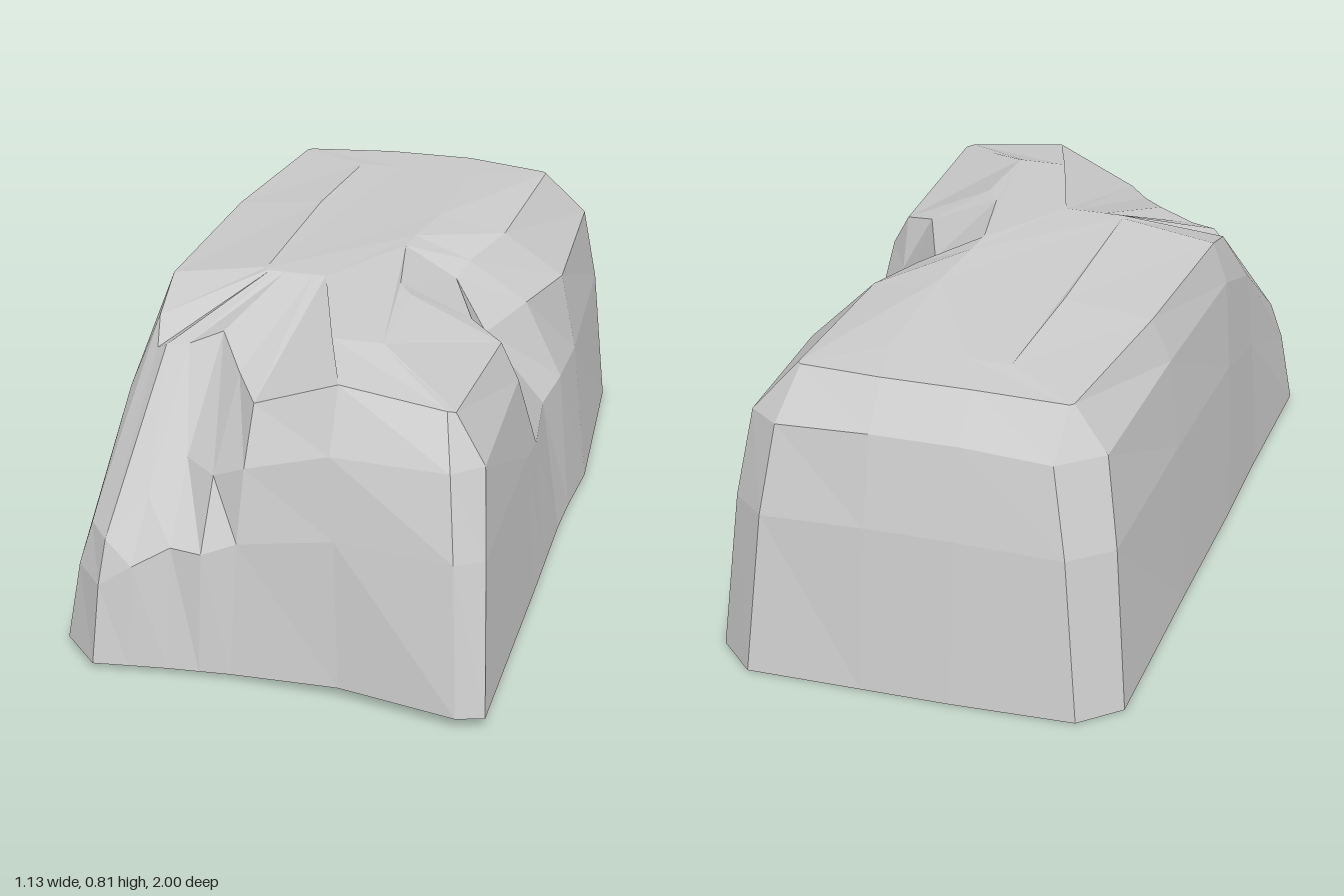
import * as THREE from 'three';

// Columns run round the block: back, left flank (+x), front, right flank (-x).
// Foot of the walls: x, z
const foot = [
  [-.52, -.9], [-.42, -.99], [-.1, -1], [.13, -1], [.43, -1], [.53, -.9],
  [.565, -.35], [.55, -.15], [.545, -.02], [.545, .2], [.545, .35], [.54, .98],
  [.47, 1], [.16, .93], [-.12, .91], [-.2, .915], [-.28, .92], [-.38, .93], [-.47, .94], [-.57, .83],
  [-.555, .4], [-.55, .1], [-.535, -.35],
];
// Shoulder where the walls turn inward: x, y, z
const shoulder = [
  [-.44, .64, -.79], [-.33, .64, -.88], [-.1, .66, -.89], [.13, .66, -.89], [.38, .64, -.87], [.47, .63, -.79],
  [.48, .62, -.35], [.42, .63, -.13], [.34, .6, .02], [.42, .58, .2], [.48, .61, .3], [.49, .61, .78],
  [.42, .62, .86], [.12, .62, .84], [-.1, .55, .82], [-.19, .5, .78], [-.28, .5, .7], [-.36, .42, .78],
  [-.45, .33, .86], [-.51, .33, .78], [-.5, .56, .47], [-.5, .66, .2], [-.47, .66, -.3],
];
// Rim of the top, notched on one flank and worn away at one front corner: x, y, z
const rim = [
  [-.35, .755, -.77], [-.34, .755, -.78], [-.1, .765, -.79], [.13, .765, -.79], [.35, .755, -.76], [.36, .755, -.75],
  [.33, .76, -.28], [.27, .75, -.1], [.25, .73, -.02], [.34, .73, .22], [.43, .7, .28], [.41, .73, .75],
  [.39, .735, .76], [.12, .77, .75], [-.1, .68, .72], [-.17, .7, .6], [-.25, .74, .46], [-.34, .7, .47],
  [-.4, .69, .47], [-.43, .67, .45], [-.45, .72, .36], [-.46, .77, .2], [-.42, .77, -.3],
];

const WORN_FROM = 14;              // first column of the worn corner
const GENTLE = [7, 8, 9, 15, 16, 17]; // notch and pinch columns, whose lower wall stays upright

const footRing = foot.map(([x, z]) => [x, .015 * (1 + z) * (x < -.1 ? .5 : 1), z]);

// Walls stay steep low down, then lean in towards the shoulder
const wallRing = footRing.map(([x, y, z], i) => {
  const [sx, sy, sz] = shoulder[i];
  const lean = GENTLE.includes(i) ? .25 : .5;
  return [x + (sx - x) * lean, y + (sy - y) * .65, z + (sz - z) * lean];
});

// Outline of the slightly domed plateau, which stops short at the worn corner
const crownRing = rim.map(([x, , z], i) => {
  const cz = THREE.MathUtils.clamp(z, -.65, i >= WORN_FROM ? .22 : .55);
  return [x * .45, .81 + .06 * Math.min(cz + .05, 0) - .05 * Math.max(cz - .25, 0), cz];
});

// Joins successive closed rings with flat facets and caps the last one
function skin(rings) {
  const positions = [];
  for (let r = 0; r < rings.length - 1; r++) {
    const low = rings[r], high = rings[r + 1], n = low.length;
    for (let i = 0; i < n; i++) {
      const j = (i + 1) % n;
      positions.push(...low[i], ...high[i], ...high[j], ...low[i], ...high[j], ...low[j]);
    }
  }
  const top = rings[rings.length - 1];
  const outline = top.map(([x, , z]) => new THREE.Vector2(x, z));
  for (const [a, b, c] of THREE.ShapeUtils.triangulateShape(outline, [])) {
    // Corners ordered so that the cap faces up
    const up = THREE.ShapeUtils.area([outline[a], outline[b], outline[c]]) < 0;
    positions.push(...top[a], ...top[up ? b : c], ...top[up ? c : b]);
  }
  const geometry = new THREE.BufferGeometry();
  geometry.setAttribute('position', new THREE.Float32BufferAttribute(positions, 3));
  geometry.computeVertexNormals();
  return geometry;
}

export function createModel() {
  const group = new THREE.Group();
  group.name = 'rock';
  // Open underneath, so the inside shows too
  const material = new THREE.MeshStandardMaterial({ color: 0xcccccc, flatShading: true, side: THREE.DoubleSide });
  const shell = new THREE.Mesh(skin([footRing, wallRing, shoulder, rim, crownRing]), material);
  shell.name = 'rockShell';
  group.add(shell);
  return group;
}
